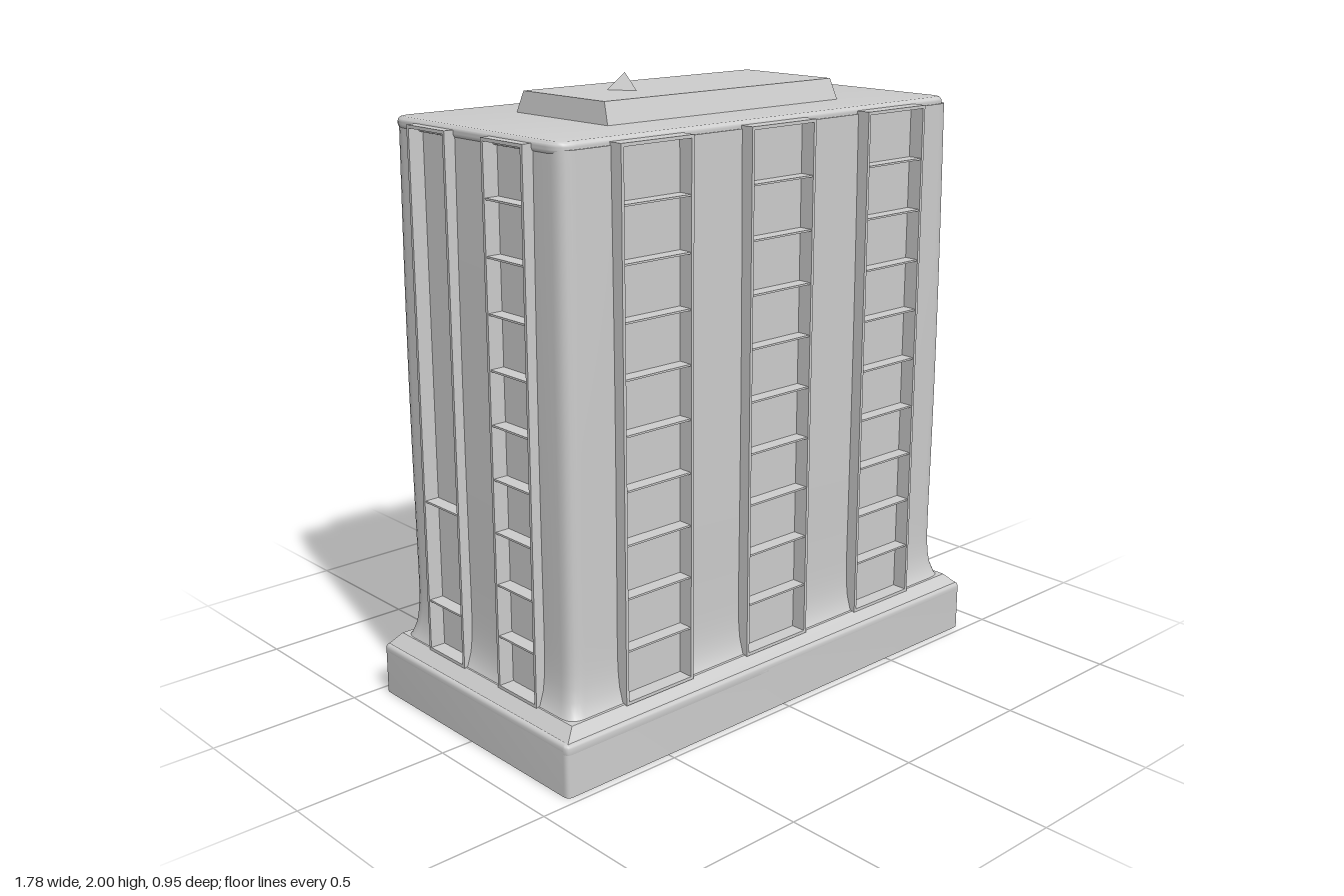
import * as THREE from 'three';
import { toCreasedNormals } from 'three/addons/utils/BufferGeometryUtils.js';

const concrete = new THREE.MeshStandardMaterial({ color: 0xcccccc });
concrete.name = 'concrete';

const HX = 0.81, HZ = 0.402;     // wall half sizes at the top
const OX = 0.847, OZ = 0.445;    // outer faces of the window bays
const DEPTH = 0.05;              // recess of the windows inside a bay
const Y0 = 0.2, Y1 = 1.87;       // bottom and top of the bays
const LEDGES = Array.from({ length: 9 }, (_, i) => 0.37 + i * 0.166);
const LOW = [0.37], MID = [0.702], BOTH = [0.37, 0.702];

function mesh(name, geometry, parent) {
  const m = new THREE.Mesh(geometry, concrete);
  m.name = name;
  parent.add(m);
  return m;
}

function box(name, w, h, d, x, y, z, parent) {
  const m = mesh(name, new THREE.BoxGeometry(w, h, d), parent);
  m.position.set(x, y, z);
}

// Rounded rectangle in plan
function plan(hx, hz, r, Path = THREE.Shape) {
  const s = new Path();
  s.moveTo(-hx + r, -hz);
  s.lineTo(hx - r, -hz).quadraticCurveTo(hx, -hz, hx, -hz + r);
  s.lineTo(hx, hz - r).quadraticCurveTo(hx, hz, hx - r, hz);
  s.lineTo(-hx + r, hz).quadraticCurveTo(-hx, hz, -hx, hz - r);
  s.lineTo(-hx, -hz + r).quadraticCurveTo(-hx, -hz, -hx + r, -hz);
  return s;
}

// Plain rectangle in plan
function rect(x0, x1, z0, z1) {
  return new THREE.Shape([[x0, z0], [x1, z0], [x1, z1], [x0, z1]].map(([x, z]) => new THREE.Vector2(x, z)));
}

// Extrude a plan upwards from y0 to y1
function rise(shape, y0, y1, bevel = 0, steps = 1) {
  const g = new THREE.ExtrudeGeometry(shape, {
    depth: y1 - y0 - 2 * bevel, steps, curveSegments: 5, bevelEnabled: bevel > 0,
    bevelThickness: bevel, bevelSize: bevel, bevelOffset: -bevel, bevelSegments: 3,
  });
  g.rotateX(-Math.PI / 2);
  g.translate(0, y0 + bevel, 0);
  return g;
}

// Pier whose outer face swells slightly and sweeps out onto the plinth
function pier(name, shape, parent) {
  const g = rise(shape, 0.165, 1.86, 0, 40);
  const p = g.attributes.position;
  for (let i = 0; i < p.count; i++) {
    const x = p.getX(i), y = p.getY(i), z = p.getZ(i);
    const t = (y - 0.165) / 1.695;
    const out = 0.005 * Math.sin(Math.PI * t) + 0.055 * Math.exp(-(y - 0.165) / 0.05);
    if (Math.abs(x) > HX - 0.06) p.setX(i, x + Math.sign(x) * out);
    if (Math.abs(z) > HZ - 0.06) p.setZ(i, z + Math.sign(z) * out);
  }
  mesh(name, toCreasedNormals(g, 0.7), parent);
}

// Block whose top is narrower than its bottom
function taper(w, h, d, topX, topZ) {
  const g = new THREE.BoxGeometry(w, h, d);
  const p = g.attributes.position;
  for (let i = 0; i < p.count; i++) {
    if (p.getY(i) > 0) p.setXYZ(i, p.getX(i) * topX, p.getY(i), p.getZ(i) * topZ);
  }
  g.computeVertexNormals();
  return g;
}

// Framed window bay; its outer face lies on local z = 0
function windowBay(width, ledges, x, z, turn, parent) {
  const bay = new THREE.Group();
  bay.name = 'windowBay';
  const h = Y1 - Y0, mid = (Y0 + Y1) / 2, t = 0.01;
  box('windowPanel', width, h, 0.02, 0, mid, -DEPTH - 0.01, bay);
  for (const s of [-1, 1]) {
    box('frameSide', t, h, DEPTH, s * (width - t) / 2, mid, -DEPTH / 2, bay);
  }
  for (const y of [Y0 + t / 2, Y1 - t / 2]) {
    box('frameEnd', width - 2 * t, t, DEPTH, 0, y, -DEPTH / 2, bay);
  }
  for (const y of ledges) {
    box('floorLedge', width - 2 * t, 0.006, DEPTH - 0.004, 0, y, -DEPTH / 2 - 0.002, bay);
  }
  bay.position.set(x, 0, z);
  bay.rotation.y = turn;
  parent.add(bay);
}

export function createModel() {
  const model = new THREE.Group();
  model.name = 'towerBlock';

  // Hollow plinth, open underneath
  const rim = plan(0.892, 0.475, 0.02);
  rim.holes.push(plan(0.855, 0.438, 0.02, THREE.Path));
  mesh('plinthRim', toCreasedNormals(rise(rim, 0, 0.145), 0.7), model);
  mesh('plinthTop', toCreasedNormals(rise(plan(0.892, 0.475, 0.02), 0.125, 0.168, 0.012), 0.7), model);

  // Sloping foot around the walls
  mesh('wallFoot', taper(1.765, 0.038, 0.932, 0.955, 0.94), model).position.y = 0.184;

  // Corner piers, rounded on the outer corner
  const inX = 0.633, inZ = 0.275, r = 0.05;
  for (const sx of [-1, 1]) {
    for (const sz of [-1, 1]) {
      const s = new THREE.Shape();
      s.moveTo(sx * inX, sz * inZ);
      s.lineTo(sx * HX, sz * inZ);
      s.lineTo(sx * HX, sz * (HZ - r));
      s.quadraticCurveTo(sx * HX, sz * HZ, sx * (HX - r), sz * HZ);
      s.lineTo(sx * inX, sz * HZ);
      pier('cornerPier', s, model);
    }
  }

  // Piers between the bays
  for (const s of [-1, 1]) {
    for (const [x0, x1] of [[-0.372, -0.138], [0.128, 0.367]]) {
      pier('pier', rect(x0, x1, s * HZ, s * (HZ - 0.08)), model);
    }
    pier('sidePier', rect(s * HX, s * (HX - 0.08), -0.089, 0.089), model);
  }

  // Window bays on the four sides
  [[-0.505, BOTH], [-0.005, MID], [0.5, LOW]].forEach(([x, backLedges]) => {
    windowBay(0.27, LEDGES, x, OZ, 0, model);
    windowBay(0.27, backLedges, x, -OZ, Math.PI, model);
  });
  for (const z of [-0.182, 0.182]) {
    windowBay(0.19, [], OX, z, Math.PI / 2, model);
    windowBay(0.19, z > 0 ? LEDGES : BOTH, -OX, z, -Math.PI / 2, model);
  }

  // Roof slab with soft edges
  const roof = rise(plan(0.812, 0.402, 0.06), 1.845, 1.882, 0.015);
  mesh('roof', toCreasedNormals(roof, 0.7), model).position.set(-0.004, 0, -0.004);

  // Rooftop plant room with sloping sides and a small peak
  const plant = mesh('plantRoom', taper(0.965, 0.07, 0.43, 0.98, 0.88), model);
  plant.position.set(-0.01, 1.913, 0);
  const peak = mesh('roofPeak', new THREE.ConeGeometry(0.055, 0.052, 3).toNonIndexed(), model);
  peak.geometry.computeVertexNormals();
  peak.position.set(-0.235, 1.974, -0.01);

  return model;
}
